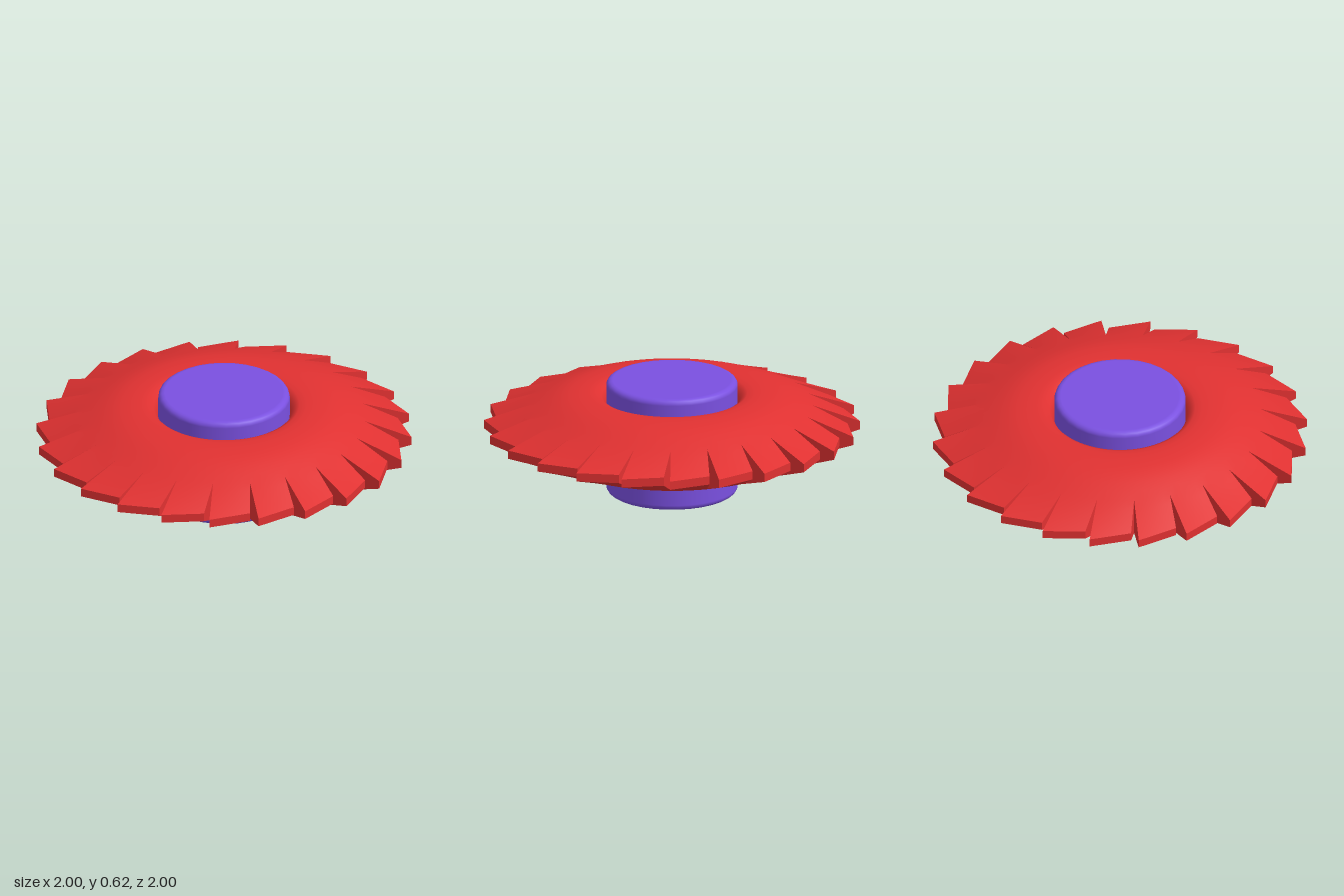
import * as THREE from 'three';
import { mergeVertices } from 'three/addons/utils/BufferGeometryUtils.js';

const TEETH = 24, COLS = 5, MID = 0.367;
const STEP = (Math.PI * 2) / TEETH;
const deg = Math.PI / 180;

// half section of the disc: [radius, half thickness], from bore lip to tooth roots
const PROFILE = [
  [0.34, 0.06], [0.348, 0.105], [0.358, 0.14], [0.375, 0.167], [0.40, 0.18], [0.44, 0.183], [0.49, 0.182],
  [0.55, 0.176], [0.60, 0.165], [0.65, 0.149], [0.70, 0.13], [0.75, 0.11],
];
const TOOTH_ROWS = 4, RIM_HALF = 0.023;

function createModel() {
  const red = new THREE.MeshStandardMaterial({ color: 0xe03131 });
  red.name = 'blade red';
  const purple = new THREE.MeshStandardMaterial({ color: 0x7a50e0 });
  purple.name = 'hub purple';

  const polar = (r, a) => new THREE.Vector2(r * Math.sin(a), -r * Math.cos(a));

  // point on one sector: row runs outward, u runs across the tooth
  function point(k, row, u, side) {
    const start = k * STEP - 1.1 * deg;
    const root = PROFILE.length - 1;
    const [r, h] = PROFILE[Math.min(row, root)];
    const p = polar(r, start + u * STEP);
    let half = h;
    if (row > root) {
      const t = (row - root) / TOOTH_ROWS;
      const corner = polar(0.933, start + 2.1 * deg);
      const tip = polar(1.0, start + STEP);
      p.lerp(corner.lerp(tip, u), t);
      half += (RIM_HALF - h) * t;
    }
    return [p.x, MID + side * half, p.y];
  }

  const quad = (out, a, b, c, d) => out.push(...a, ...b, ...c, ...a, ...c, ...d);
  const geometryFrom = (list) => {
    const g = new THREE.BufferGeometry();
    g.setAttribute('position', new THREE.Float32BufferAttribute(list, 3));
    return g;
  };

  const faces = { 1: [], [-1]: [] }, walls = [];
  const last = PROFILE.length - 1 + TOOTH_ROWS;
  for (let k = 0; k < TEETH; k++) {
    // upper and lower surfaces
    for (const side of [1, -1]) {
      for (let i = 0; i < last; i++) {
        for (let j = 0; j < COLS; j++) {
          const u = j / COLS, v = (j + 1) / COLS;
          const c = [point(k, i, u, side), point(k, i, v, side), point(k, i + 1, v, side), point(k, i + 1, u, side)];
          quad(faces[side], ...(side > 0 ? c : c.reverse()));
        }
      }
    }
    // outer edge and the two sides of the tooth
    quad(walls, point(k, last, 1, -1), point(k, last, 0, -1), point(k, last, 0, 1), point(k, last, 1, 1));
    for (let i = PROFILE.length - 1; i < last; i++) {
      quad(walls, point(k, i + 1, 0, -1), point(k, i, 0, -1), point(k, i, 0, 1), point(k, i + 1, 0, 1));
      quad(walls, point(k, i, 1, -1), point(k, i + 1, 1, -1), point(k, i + 1, 1, 1), point(k, i, 1, 1));
    }
  }

  const group = new THREE.Group();
  group.name = 'toothedDisc';
  const add = (name, geometry, material) => {
    const mesh = new THREE.Mesh(geometry, material);
    mesh.name = name;
    group.add(mesh);
  };
  for (const [side, name] of [[1, 'discTop'], [-1, 'discUnderside']]) {
    const g = mergeVertices(geometryFrom(faces[side]), 1e-4);
    g.computeVertexNormals();
    add(name, g, red);
  }
  const edge = geometryFrom(walls);
  edge.computeVertexNormals();
  add('toothEdges', edge, red);

  // hub with rounded rims
  const R = 0.35, H = 0.62, B = 0.03;
  const pts = [new THREE.Vector2(0, 0), new THREE.Vector2(R - B - 0.005, 0)];
  for (const [cy, from] of [[B, -90], [H - B, 0]]) {
    for (let i = 0; i <= 4; i++) {
      const a = (from + i * 22.5) * deg;
      pts.push(new THREE.Vector2(R - B + B * Math.cos(a), cy + B * Math.sin(a)));
    }
  }
  pts.push(new THREE.Vector2(R - B - 0.005, H), new THREE.Vector2(0, H));
  add('hub', new THREE.LatheGeometry(pts, 32), purple);

  return group;
}

export { createModel };
